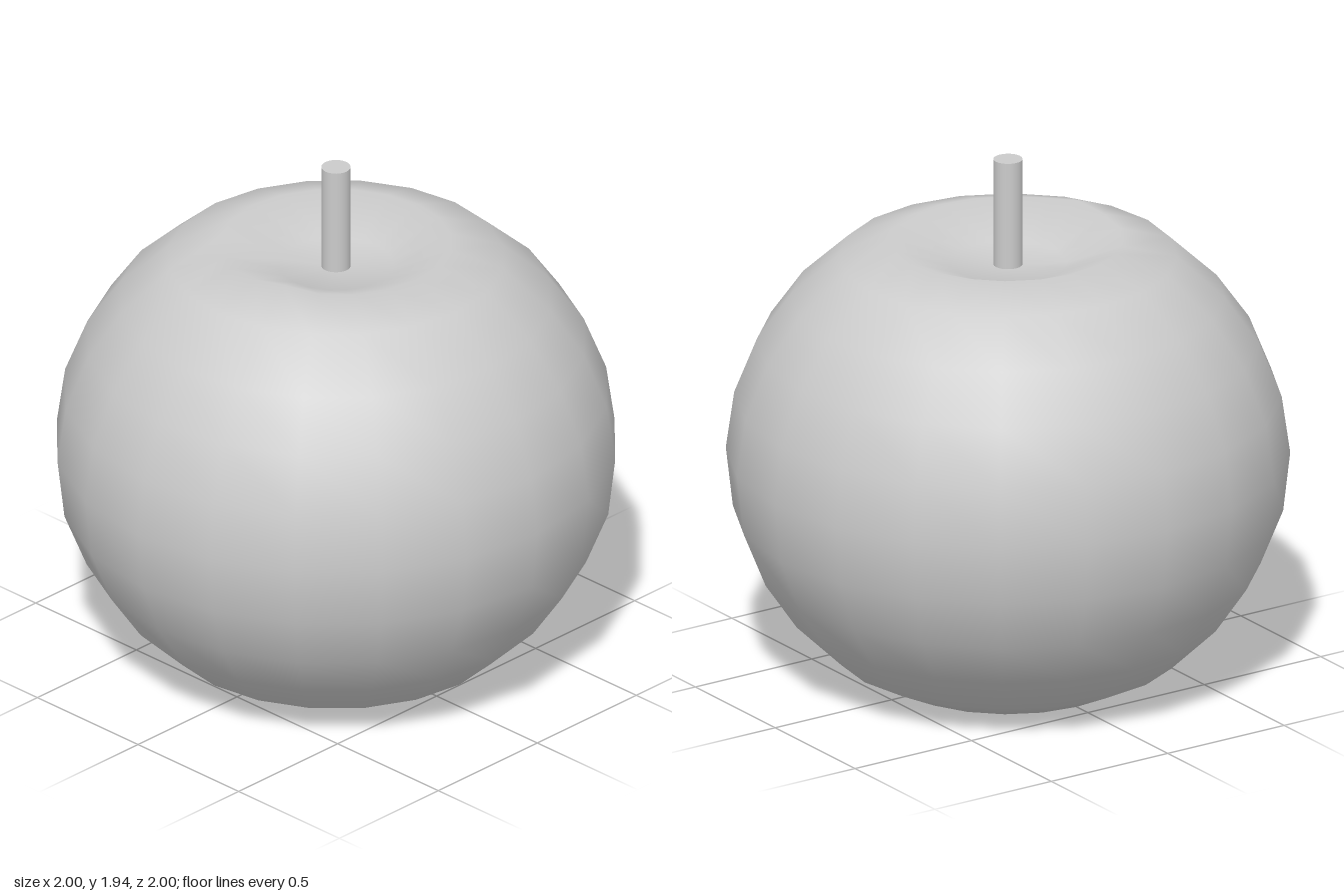
import * as THREE from 'three';
import { mergeVertices } from 'three/addons/utils/BufferGeometryUtils.js';

const material = new THREE.MeshStandardMaterial({ color: 0xcccccc });

// Fruit body: a turned profile with a hollow at both ends
function createBody() {
  const profile = [
    [0, 0.11], [0.21, 0.09], [0.43, 0.01], [0.615, 0.1], [0.78, 0.26], [0.895, 0.43], [0.975, 0.63],
    [1, 0.85], [0.97, 1.06], [0.89, 1.26], [0.77, 1.43], [0.6, 1.585], [0.41, 1.647], [0.205, 1.56], [0, 1.55],
  ].map(([r, y]) => new THREE.Vector2(r, y));
  let geometry = new THREE.LatheGeometry(profile, 20);

  // Uneven shoulder: slight tilt, one raised point and one shallow notch on the rim
  const pos = geometry.attributes.position;
  for (let i = 0; i < pos.count; i++) {
    const x = pos.getX(i), z = pos.getZ(i), y = pos.getY(i);
    if (y < 1.5) continue;
    const near = (px, pz) => Math.exp(-((x - px) ** 2 + (z - pz) ** 2) / 0.01);
    pos.setY(i, y + 0.012 * (x + z) + 0.018 * near(0.13, 0.39) - 0.025 * near(-0.24, 0.33));
  }

  // Weld the seam and poles so the shading runs smoothly all round
  geometry.deleteAttribute('normal');
  geometry.deleteAttribute('uv');
  geometry = mergeVertices(geometry, 1e-4);
  geometry.computeVertexNormals();
  const body = new THREE.Mesh(geometry, material);
  body.name = 'fruitBody';
  return body;
}

// Straight stalk standing in the upper hollow
function createStem() {
  const bottom = 1.5, top = 1.95;
  const stem = new THREE.Mesh(new THREE.CylinderGeometry(0.052, 0.052, top - bottom, 24), material);
  stem.position.y = (top + bottom) / 2;
  stem.name = 'stem';
  return stem;
}

export function createModel() {
  const group = new THREE.Group();
  group.name = 'fruit';
  group.add(createBody(), createStem());
  return group;
}
